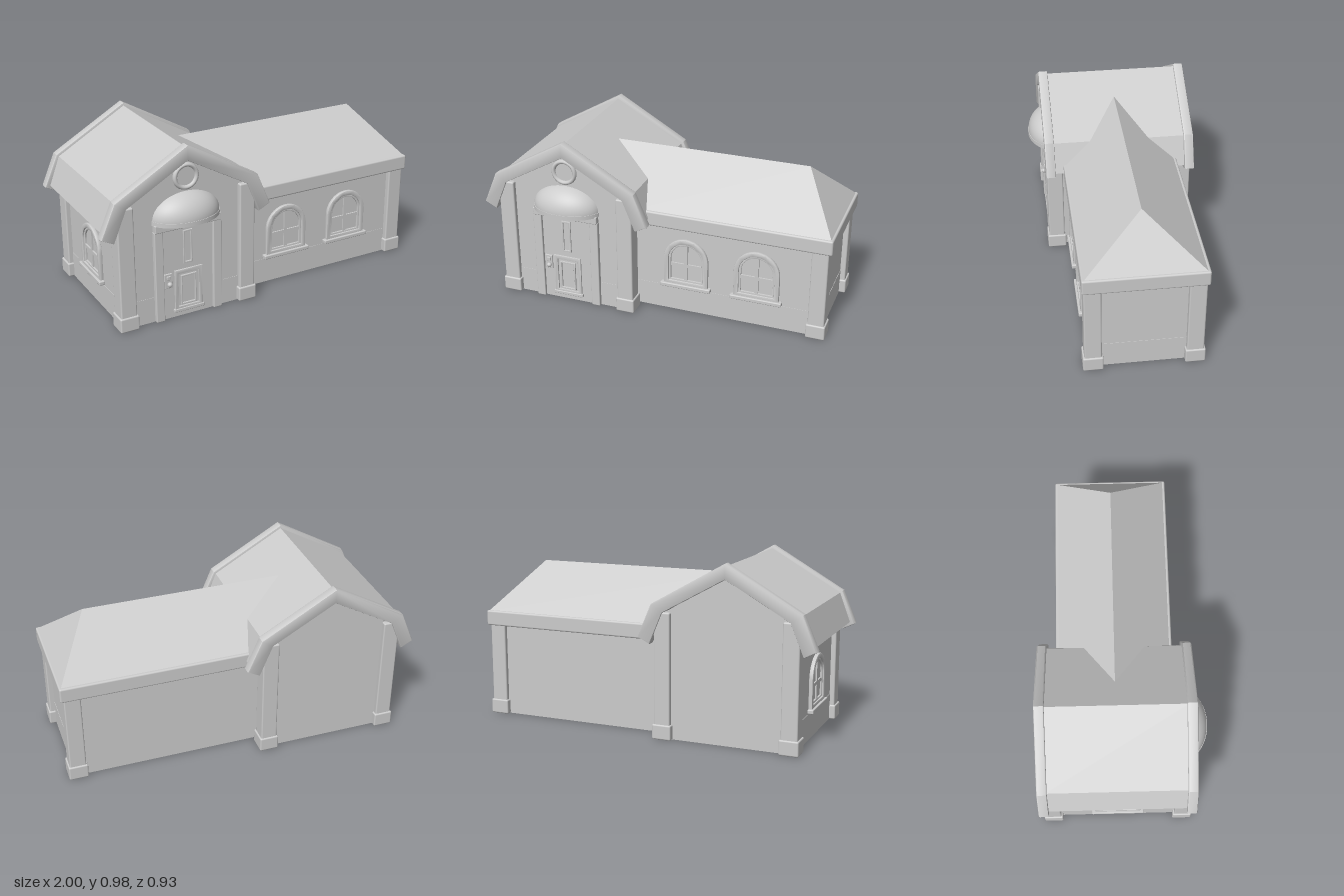
import * as THREE from 'three';
import { RoundedBoxGeometry } from 'three/addons/geometries/RoundedBoxGeometry.js';
import { toCreasedNormals } from 'three/addons/utils/BufferGeometryUtils.js';

const material = new THREE.MeshStandardMaterial({ color: 0xcccccc, side: THREE.DoubleSide });
const CX = -0.505; // centre line of the gabled hall
const CZ = -0.0375; // centre line of the side wing

function add(parent, name, geometry, x = 0, y = 0, z = 0) {
  const mesh = new THREE.Mesh(geometry, material);
  mesh.name = name;
  mesh.position.set(x, y, z);
  parent.add(mesh);
  return mesh;
}

// Box given by its limits; r > 0 rounds the edges
function box(parent, name, [x0, x1], [y0, y1], [z0, z1], r = 0) {
  const size = [x1 - x0, y1 - y0, z1 - z0];
  const geometry = r ? new RoundedBoxGeometry(...size, 2, r) : new THREE.BoxGeometry(...size);
  return add(parent, name, geometry, (x0 + x1) / 2, (y0 + y1) / 2, (z0 + z1) / 2);
}

function extrude(shape, depth, bevel = 0) {
  const geometry = new THREE.ExtrudeGeometry(shape, {
    depth: depth - 2 * bevel, bevelEnabled: bevel > 0, bevelSize: bevel,
    bevelThickness: bevel, bevelOffset: -bevel, bevelSegments: 2, curveSegments: 20,
  });
  geometry.translate(0, 0, bevel);
  return toCreasedNormals(geometry, 0.6);
}

// Shape symmetric about x = 0: left half listed from the outside to the middle
function mirrored(left) {
  const right = left.filter(([x]) => x !== 0).reverse().map(([x, y]) => [-x, y]);
  return [...left, ...right].map(([x, y]) => new THREE.Vector2(x, y));
}

function rectFrame(parent, name, [x0, x1], [y0, y1], z, depth, t) {
  const rect = (d) => [[x0 + d, y0 + d], [x1 - d, y0 + d], [x1 - d, y1 - d], [x0 + d, y1 - d]]
    .map((p) => new THREE.Vector2(...p));
  const shape = new THREE.Shape(rect(0));
  shape.holes.push(new THREE.Path(rect(t)));
  add(parent, name, extrude(shape, depth, 0.003), 0, 0, z);
}

// Round-headed outline
function arch(target, r, bottom, spring) {
  target.moveTo(-r, bottom);
  target.lineTo(r, bottom);
  target.lineTo(r, spring);
  target.absarc(0, spring, r, 0, Math.PI, false);
  target.lineTo(-r, bottom);
  return target;
}

function archedWindow(name) {
  const group = new THREE.Group();
  group.name = name;
  const frame = arch(new THREE.Shape(), 0.13, 0.17, 0.33);
  frame.holes.push(arch(new THREE.Path(), 0.102, 0.195, 0.33));
  add(group, 'windowFrame', extrude(frame, 0.022, 0.005));
  const sash = arch(new THREE.Shape(), 0.105, 0.19, 0.33);
  sash.holes.push(arch(new THREE.Path(), 0.09, 0.205, 0.33));
  add(group, 'windowSash', extrude(sash, 0.013, 0.002));
  add(group, 'windowPane', extrude(arch(new THREE.Shape(), 0.105, 0.19, 0.33), 0.003));
  box(group, 'mullion', [-0.01, 0.01], [0.2, 0.425], [0, 0.012]);
  box(group, 'transom', [-0.095, 0.095], [0.285, 0.305], [0, 0.012]);
  box(group, 'windowSill', [-0.148, 0.148], [0.155, 0.178], [0, 0.034], 0.005);
  return group;
}

// Pillar with a thicker foot, centred on x, z
function pillar(parent, x, z, top) {
  box(parent, 'pillar', [x - 0.046, x + 0.046], [0.01, top], [z - 0.046, z + 0.046], 0.008);
  box(parent, 'pillarFoot', [x - 0.054, x + 0.054], [0, 0.083], [z - 0.054, z + 0.054], 0.008);
}

function hall() {
  const group = new THREE.Group();
  group.name = 'gabledHall';

  // Hollow walls
  const gable = new THREE.Shape(mirrored([[-0.375, 0], [-0.375, 0.68], [0, 0.92]]));
  add(group, 'frontWall', extrude(gable, 0.01), CX, 0, 0.345);
  add(group, 'backWall', extrude(gable, 0.01), CX, 0, -0.43);
  for (const s of [-1, 1]) {
    box(group, 'sideWall', [CX + s * 0.37 - 0.005, CX + s * 0.37 + 0.005], [0, 0.68], [-0.425, 0.35]);
    for (const z of [0.336, -0.411]) pillar(group, CX + s * 0.357, z, 0.7);
  }
  box(group, 'frontPlinth', [-0.87, -0.14], [0, 0.147], [0.35, 0.357]);
  box(group, 'leftPlinth', [-0.882, -0.875], [0, 0.147], [-0.42, 0.34]);

  // Broken-pitch roof and the raised bands closing its two ends
  const band = new THREE.Shape(mirrored([
    [-0.425, 0.525], [-0.495, 0.56], [-0.417, 0.743], [0, 0.982],
  ]).concat(mirrored([[-0.352, 0.7], [0, 0.898]]).reverse()
    .map((p) => p)));
  for (const z of [0.335, -0.465]) add(group, 'gableBand', extrude(band, 0.055, 0.007), CX, 0, z);
  const roof = new THREE.Shape(mirrored([
    [-0.42, 0.545], [-0.467, 0.568], [-0.405, 0.733], [0, 0.966],
  ]).concat(mirrored([[-0.352, 0.7], [0, 0.898]]).reverse()));
  add(group, 'hallRoof', extrude(roof, 0.765), CX, 0, -0.42);

  // Round window in the gable
  const ring = add(group, 'roundWindowFrame', new THREE.TorusGeometry(0.063, 0.012, 10, 36), CX, 0.805, 0.358);
  ring.scale.z = 1.3;
  const pane = add(group, 'roundWindowPane', new THREE.CylinderGeometry(0.06, 0.06, 0.006, 36), CX, 0.805, 0.356);
  pane.rotation.x = Math.PI / 2;

  const side = archedWindow('leftWindow');
  side.position.set(-0.88, 0, CZ);
  side.rotation.y = -Math.PI / 2;
  group.add(side);
  return group;
}

function entrance() {
  const group = new THREE.Group();
  group.name = 'entrance';
  group.position.x = CX;
  const face = 0.362;

  box(group, 'doorBlock', [-0.148, 0.148], [0, 0.54], [0.06, face]);
  for (const s of [-1, 1]) {
    box(group, 'doorPost', [s * 0.173 - 0.025, s * 0.173 + 0.025], [0, 0.53], [0.34, 0.38], 0.005);
  }
  box(group, 'lintel', [-0.195, 0.195], [0.525, 0.57], [0.34, 0.385], 0.005);

  // Door panels and handle
  rectFrame(group, 'doorLight', [-0.027, 0.027], [0.312, 0.505], face, 0.01, 0.01);
  rectFrame(group, 'lowerPanelFrame', [-0.083, 0.083], [0.04, 0.28], face, 0.012, 0.022);
  rectFrame(group, 'lowerPanelTrim', [-0.047, 0.047], [0.068, 0.245], face, 0.012, 0.01);
  box(group, 'lowerPanel', [-0.035, 0.035], [0.08, 0.233], [face - 0.01, face + 0.006]);
  box(group, 'kickRail', [-0.09, 0.09], [0.03, 0.05], [face - 0.01, face + 0.016], 0.004);
  box(group, 'lockPlate', [-0.142, -0.097], [0.185, 0.27], [face - 0.01, face + 0.008], 0.003);
  add(group, 'doorKnob', new THREE.SphereGeometry(0.014, 16, 10), -0.115, 0.21, face + 0.015);
  box(group, 'latch', [-0.13, -0.107], [0.235, 0.258], [face, face + 0.014], 0.003);

  // Domed hood on a shallow lip
  const dome = add(group, 'hoodDome', new THREE.SphereGeometry(1, 32, 14, 0, Math.PI, 0, Math.PI / 2), 0, 0.588, 0.32);
  dome.scale.set(0.203, 0.137, 0.143);
  const lip = add(group, 'hoodLip', new THREE.CylinderGeometry(1, 1, 0.024, 32, 1, false, -Math.PI / 2, Math.PI), 0, 0.577, 0.32);
  lip.scale.set(0.206, 1, 0.146);
  return group;
}

function wing() {
  const group = new THREE.Group();
  group.name = 'sideWing';

  // Hollow walls
  box(group, 'frontWall', [-0.135, 0.945], [0, 0.55], [0.24, 0.25]);
  box(group, 'backWall', [-0.135, 0.945], [0, 0.55], [-0.33, -0.32]);
  box(group, 'endWall', [0.935, 0.945], [0, 0.55], [-0.325, 0.245]);
  box(group, 'frontPlinth', [-0.13, 0.94], [0, 0.147], [0.245, 0.252]);
  box(group, 'endPlinth', [0.94, 0.947], [0, 0.147], [-0.32, 0.24]);
  for (const z of [0.233, -0.308]) pillar(group, 0.93, z, 0.54);

  // Eaves and hipped roof running into the hall roof
  box(group, 'eaves', [-0.12, 0.995], [0.525, 0.612], [-0.365, 0.288], 0.01);
  const y = 0.608, top = 0.875, x0 = -0.12, x1 = 0.985, zf = 0.278, zb = -0.353;
  const fl = [x0, y, zf], fr = [x1, y, zf], br = [x1, y, zb], bl = [x0, y, zb];
  const ridgeIn = [-0.42, top, CZ], hip = [0.78, top, CZ];
  const triangles = [
    fl, fr, hip, fl, hip, ridgeIn, // front slope
    fr, br, hip, // hip end
    br, bl, ridgeIn, br, ridgeIn, hip, // back slope
  ];
  const roof = new THREE.BufferGeometry();
  roof.setAttribute('position', new THREE.Float32BufferAttribute(triangles.flat(), 3));
  roof.computeVertexNormals();
  add(group, 'wingRoof', roof);

  for (const x of [0.175, 0.585]) {
    const front = archedWindow('frontWindow');
    front.position.set(x, 0, 0.25);
    group.add(front);
  }
  return group;
}

export function createModel() {
  const model = new THREE.Group();
  model.name = 'house';
  model.add(hall(), entrance(), wing());
  return model;
}
